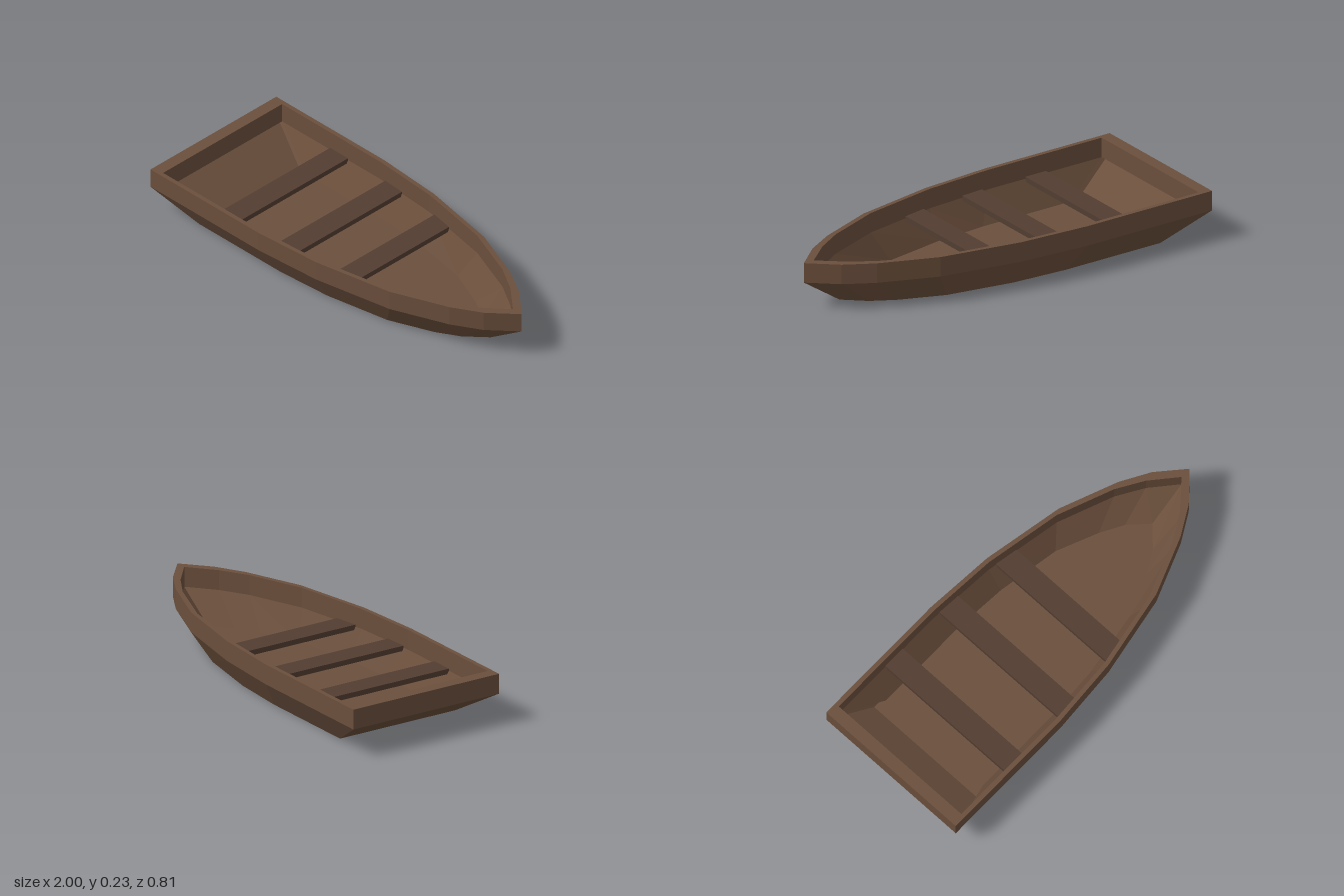
import * as THREE from 'three';

const DECK = 0.135, TOP = 0.232;

// Half outlines [x, z], stern to bow
const RIM_OUTER = [[-1, 0.405], [-0.3, 0.405], [0.05, 0.38], [0.45, 0.305], [0.73, 0.195], [0.87, 0.115], [1, 0]];
const RIM_INNER = [[-0.94, 0.383], [-0.3, 0.383], [0.04, 0.36], [0.42, 0.29], [0.69, 0.185], [0.82, 0.107], [0.945, 0]];
const BOTTOM_OUTER = [[-0.77, 0.32], [-0.24, 0.32], [0.04, 0.3], [0.37, 0.24], [0.59, 0.153], [0.7, 0.09], [0.8, 0]];
const BOTTOM_INNER = [[-0.71, 0.303], [-0.22, 0.303], [0.04, 0.285], [0.35, 0.232], [0.55, 0.148], [0.66, 0.087], [0.75, 0]];

// Full outline: one side out to the bow, mirrored side back to the stern
const mirrored = half => [...half, ...half.slice(0, -1).reverse().map(([x, z]) => [x, -z])];
const toPoints = outline => outline.map(([x, z]) => new THREE.Vector2(x, -z));

// Flat plate lying on its outline, extruded upward from y
function plate(outline, hole, y, depth) {
  const shape = new THREE.Shape(toPoints(outline));
  if (hole) shape.holes.push(new THREE.Path(toPoints(hole)));
  const geometry = new THREE.ExtrudeGeometry(shape, { depth, bevelEnabled: false });
  return geometry.rotateX(-Math.PI / 2).translate(0, y, 0);
}

// Planked band between a lower and an upper outline
function band(lower, y0, upper, y1, closed, inward) {
  const position = [];
  const count = lower.length;
  for (let i = 0; i < (closed ? count : count - 1); i++) {
    const j = (i + 1) % count;
    const a = [lower[i][0], y0, lower[i][1]], b = [lower[j][0], y0, lower[j][1]];
    const c = [upper[j][0], y1, upper[j][1]], d = [upper[i][0], y1, upper[i][1]];
    const corners = inward ? [a, c, b, a, d, c] : [a, b, c, a, c, d];
    position.push(...corners.flat());
  }
  const geometry = new THREE.BufferGeometry();
  geometry.setAttribute('position', new THREE.Float32BufferAttribute(position, 3));
  geometry.computeVertexNormals();
  return geometry;
}

// Half width of an outline at a given x
function halfWidth(half, x) {
  const i = half.findIndex(p => p[0] >= x);
  const [x0, z0] = half[i - 1], [x1, z1] = half[i];
  return z0 + (z1 - z0) * (x - x0) / (x1 - x0);
}

export function createModel() {
  const group = new THREE.Group();
  const wood = new THREE.MeshStandardMaterial({ color: 0x6b4f3c, flatShading: true, side: THREE.DoubleSide });
  const benchWood = new THREE.MeshStandardMaterial({ color: 0x523d31, flatShading: true });
  const add = (name, geometry, material = wood) => {
    const mesh = new THREE.Mesh(geometry, material);
    mesh.name = name;
    group.add(mesh);
  };

  const rimOuter = mirrored(RIM_OUTER), rimInner = mirrored(RIM_INNER);
  const bottomOuter = mirrored(BOTTOM_OUTER), bottomInner = mirrored(BOTTOM_INNER);

  // Upright rim, sloping hull with transom, inner lining and flat floor
  add('gunwale', plate(rimOuter, rimInner, DECK, TOP - DECK));
  add('hull', band(bottomOuter, 0, rimOuter, DECK, true, false));
  add('innerLining', band(bottomInner, 0, rimInner, DECK, false, true));
  const floor = new THREE.ShapeGeometry(new THREE.Shape(toPoints(bottomOuter)));
  add('floor', floor.rotateX(-Math.PI / 2));

  // Benches, with ends cut to follow the sides
  [-0.57, -0.21, 0.137].forEach((x, i) => {
    const ends = [x - 0.058, x + 0.058].map(ex => [ex, halfWidth(RIM_INNER, ex)]);
    add(`bench${i + 1}`, plate(mirrored([...ends, [ends[1][0], 0]]), null, 0.12, 0.025), benchWood);
  });

  return group;
}
